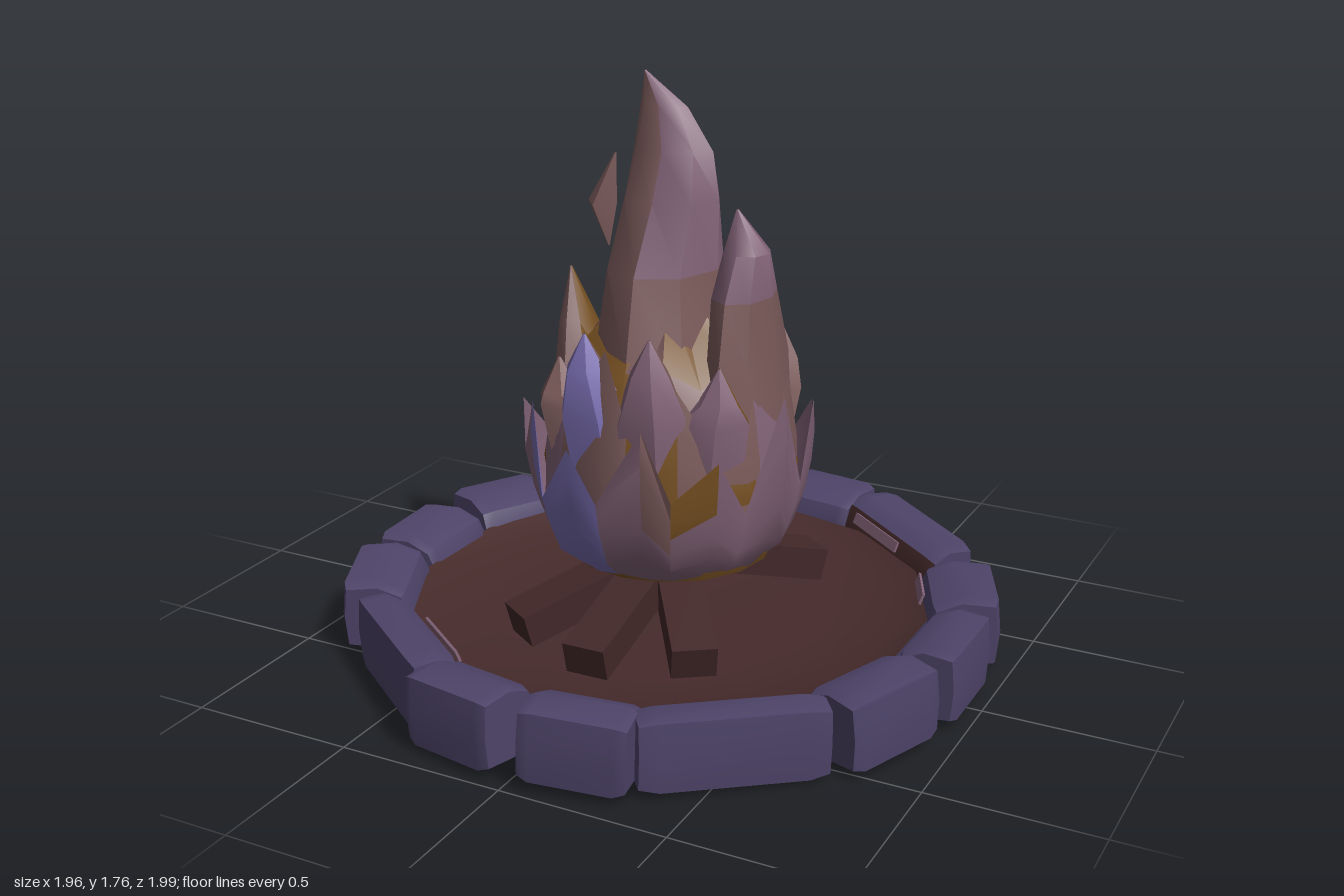
import * as THREE from 'three';
import { toCreasedNormals } from 'three/addons/utils/BufferGeometryUtils.js';

const mat = (name, color, side = THREE.FrontSide) => {
  const m = new THREE.MeshStandardMaterial({ color, side });
  m.name = name;
  return m;
};

// Closed skin around the y axis: point(row, column) gives each vertex, pick chooses a material
function skin(rows, cols, point, pick) {
  const pos = [], index = [], geo = new THREE.BufferGeometry();
  for (let i = 0; i <= rows; i++) for (let j = 0; j < cols; j++) pos.push(...point(i, j));
  for (let i = 0; i < rows; i++) for (let j = 0; j < cols; j++) {
    const k = (j + 1) % cols;
    const a = i * cols + j, b = a + cols, c = (i + 1) * cols + k, d = i * cols + k;
    geo.addGroup(index.length, 6, pick(i, j));
    index.push(a, b, c, a, c, d);
  }
  geo.setAttribute('position', new THREE.Float32BufferAttribute(pos, 3));
  geo.setIndex(index);
  return toCreasedNormals(geo, 0.75);
}

// Piecewise linear radius for a height, from [y, r] pairs
function radiusAt(profile, y) {
  for (let i = 1; i < profile.length; i++) {
    const [y0, r0] = profile[i - 1], [y1, r1] = profile[i];
    if (y <= y1) return r0 + (r1 - r0) * Math.max(0, (y - y0) / (y1 - y0));
  }
  return profile[profile.length - 1][1];
}

export function createModel() {
  const root = new THREE.Group();
  root.name = 'campfire';
  const D = THREE.DoubleSide;
  const stone = mat('stone', 0x4e4469);
  const dirt = mat('dirt', 0x472b2b);
  const wood = mat('wood', 0x422728);
  const mauve = mat('flameMauve', 0x826377, D);
  const rose = mat('flameRose', 0x7c5b5b, D);
  const amber = mat('flameAmber', 0x765022, D);
  const lavender = mat('flameLavender', 0x786cae, D);
  const flames = [mauve, rose, amber, lavender];

  const add = (name, geo, material, parent = root) => {
    const m = new THREE.Mesh(geo, material);
    m.name = name;
    parent.add(m);
    return m;
  };

  // Ground: shallow dirt bowl banked up against the stones, with a dished stone underside
  const disc = (name, pts, material) => add(name,
    toCreasedNormals(new THREE.LatheGeometry(pts.map(p => new THREE.Vector2(...p)), 14), 0.6), material);
  disc('ground', [[0.785, 0.16], [0.7, 0.125], [0.5, 0.11], [0, 0.1]], dirt);
  disc('groundUnderside', [[0, 0.03], [0.6, 0.04], [0.77, 0.07], [0.785, 0.16]], stone);

  // Stone ring: [angle in degrees, width, distance, depth]
  const ring = [[0, 0.32, 0.87, 0.21], [24, 0.32, 0.87, 0.23], [52, 0.52, 0.83, 0.19], [78.5, 0.3, 0.87, 0.23],
    [101.5, 0.3, 0.87, 0.23], [128, 0.54, 0.825, 0.18], [156, 0.32, 0.87, 0.23], [180, 0.3, 0.86, 0.24],
    [204, 0.32, 0.87, 0.24], [232, 0.47, 0.865, 0.19], [258.5, 0.31, 0.88, 0.24], [279, 0.29, 0.88, 0.24],
    [306, 0.49, 0.855, 0.19], [336, 0.32, 0.87, 0.24]];
  const stones = new THREE.Group();
  stones.name = 'stoneRing';
  root.add(stones);
  ring.forEach(([deg, w, r, d], n) => {
    const h = 0.22;
    const geo = new THREE.BoxGeometry(w, h, d, 3, 2, 2);
    const p = geo.attributes.position;
    for (let i = 0; i < p.count; i++) {
      let x = p.getX(i), y = p.getY(i), z = p.getZ(i);
      const end = Math.abs(x) > w * 0.4;
      const edge = Math.abs(y) > h * 0.4 && Math.abs(z) > d * 0.4;
      if (!end) x *= 2.35;
      const s = (end ? 0.9 : 1) * (edge ? 0.92 : 1);
      // inner top edge slopes down towards the fire
      if (z < -d * 0.4 && y > 0.1) { y -= 0.025; z += 0.03; }
      p.setXYZ(i, x, y * s, z * s);
    }
    geo.computeVertexNormals();
    // long stones are dirty on the side facing the fire
    const inner = w > 0.4 ? dirt : stone;
    const m = add('stone', geo, [stone, stone, stone, stone, stone, inner], stones);
    const a = deg * Math.PI / 180;
    m.position.set(Math.cos(a) * r, 0.125 + 0.008 * Math.sin(n * 2.3), Math.sin(a) * r);
    m.rotation.set(0, Math.PI / 2 - a, 0.05 * Math.sin(n * 1.7));
    // pale scorch marks along some inner edges
    if ([5, 12, 13].includes(n)) {
      const mark = add('scorchMark', new THREE.BoxGeometry(w * 0.5, 0.035, 0.008), mauve, m);
      mark.position.set(w * 0.1, 0.06, -d / 2 + 0.01);
      mark.rotation.x = 0.35;
    }
  });

  // Logs leaning in under the fire: [outer x, outer z]
  [[0.01, 0.55], [0.29, 0.42], [-0.28, 0.43], [-0.035, -0.55], [0.3, -0.41], [-0.31, -0.42]].forEach(([x, z]) => {
    const outer = new THREE.Vector3(x, 0.175, z);
    const inner = new THREE.Vector3(x * 0.28, 0.275, z * 0.28);
    const log = add('log', new THREE.BoxGeometry(0.13, 0.1, outer.distanceTo(inner)), wood);
    log.position.copy(outer).add(inner).multiplyScalar(0.5);
    log.lookAt(outer);
  });
  const chip = add('woodChip', new THREE.BoxGeometry(0.07, 0.06, 0.05), wood);
  chip.position.set(-0.41, 0.13, -0.3);
  chip.rotation.y = 0.6;

  const fire = new THREE.Group();
  fire.name = 'fire';
  root.add(fire);

  // Glowing core that fills the space between the flames
  const core = [[0.003, 0.315], [0.14, 0.318], [0.31, 0.335], [0.35, 0.42], [0.38, 0.6], [0.35, 0.78], [0.28, 0.94], [0.13, 1.1]];
  add('core', skin(core.length - 1, 16, (i, j) => {
    const a = j / 16 * Math.PI * 2, r = core[i][0];
    const lift = i > 4 ? 0.04 * Math.sin(j * 2.4 + i) : 0;
    return [Math.cos(a) * r, core[i][1] + lift, Math.sin(a) * r];
  }, (i, j) => (i < 4 || (j * 5 + i * 3) % 7 < 4 ? 2 : 1)), flames, fire);

  // Ring of pointed flames: odd columns rise to tips, even columns are the valleys
  const crown = (name, profile, tips, valley, pick) => {
    const cols = tips.length * 2, base = profile[0][0], rows = 5;
    add(name, skin(rows, cols, (i, j) => {
      const top = j % 2 ? tips[(j - 1) / 2] : valley + 0.04 * Math.sin(j * 2.1);
      const y = base + (top - base) * i / rows;
      const r = radiusAt(profile, y) * (1 + 0.025 * Math.sin(j * 1.9));
      const a = j / cols * Math.PI * 2 + 0.05 * Math.sin(j * 3.3);
      return [Math.cos(a) * r, y, Math.sin(a) * r * 1.05];
    }, pick), flames, fire);
  };
  crown('outerFlames', [[0.345, 0.305], [0.38, 0.355], [0.5, 0.4], [0.62, 0.425], [0.75, 0.435], [0.9, 0.42]],
    [0.89, 0.74, 0.84, 0.76, 0.84, 0.77, 0.76, 0.8, 0.72, 0.84, 0.74, 0.82], 0.6,
    (i, j) => (j >= 6 && j <= 8 ? 3 : j === 3 && i > 2 ? 2 : j === 4 && i > 1 ? 1 : 0));
  crown('middleFlames', [[0.5, 0.37], [0.7, 0.365], [0.85, 0.34], [1.05, 0.3]],
    [0.98, 0.92, 1.02, 0.95, 0.9, 1, 0.93, 1.02, 0.95], 0.78,
    (i, j) => (j % 5 === 3 ? 2 : j % 3 ? 1 : 0));

  // Single flame lofted through sections [x, y, z, half width, half depth]
  const tongue = (name, s, pick, sides = 8) => add(name, skin(s.length - 1, sides, (i, j) => {
    const a = (j / sides) * Math.PI * 2, [x, y, z, rx, rz] = s[i];
    return [x + Math.cos(a) * rx, y, z + Math.sin(a) * rz];
  }, pick), flames, fire);

  tongue('centreFlame', [[0, 0.6, 0, 0.28, 0.3], [-0.01, 0.95, 0, 0.2, 0.26], [-0.015, 1.2, 0, 0.165, 0.2],
    [0.005, 1.4, 0, 0.15, 0.125], [0.01, 1.54, 0, 0.125, 0.075], [-0.02, 1.66, 0, 0.075, 0.035],
    [-0.08, 1.755, 0, 0.003, 0.003]], (i, j) => (i < 2 || j === 2 || j === 3 ? 1 : 0));
  tongue('leftFlame', [[0.22, 0.55, 0, 0.15, 0.25], [0.25, 0.95, 0, 0.09, 0.2], [0.25, 1.15, 0.03, 0.085, 0.13],
    [0.265, 1.28, 0.05, 0.07, 0.07], [0.24, 1.4, 0.06, 0.003, 0.003]],
    (i, j) => (j === 4 || j === 5 ? 2 : i > 1 && j !== 3 ? 0 : 1));
  tongue('rightFlame', [[-0.26, 0.55, 0, 0.12, 0.2], [-0.28, 0.85, 0, 0.08, 0.14], [-0.305, 1, 0.01, 0.05, 0.07],
    [-0.32, 1.16, 0.02, 0.003, 0.003]], (i, j) => (j === 0 || j === 7 ? 2 : 1));

  // Shorter flames round the sides: [angle in degrees, tip height, front colour, back colour]
  [[109, 1.06, 3, 1], [73, 1.07, 0, 1], [260, 1.05, 0, 0], [290, 1.04, 1, 0],
    [136, 0.95, 1, 0], [39, 0.98, 0, 2], [227, 1.03, 2, 1], [321, 1, 1, 0]].forEach(([deg, top, front, back]) => {
    const a = deg * Math.PI / 180, c = Math.cos(a), s = Math.sin(a);
    const section = (r, y, w) => [c * r, y, s * r, w, w];
    tongue('sideFlame', [section(0.24, 0.55, 0.11), section(0.29, 0.82, 0.115),
      section(0.33, top - 0.1, 0.06), section(0.335, top, 0.003)], (i, j) => (j < 3 ? front : back), 6);
  });

  // Loose lick of flame
  tongue('looseFlame', [[-0.225, 1.22, -0.04, 0.003, 0.003], [-0.245, 1.35, -0.04, 0.048, 0.06],
    [-0.2, 1.5, -0.04, 0.003, 0.003]], (i, j) => (j === 3 ? 0 : 1), 4);

  return root;
}
